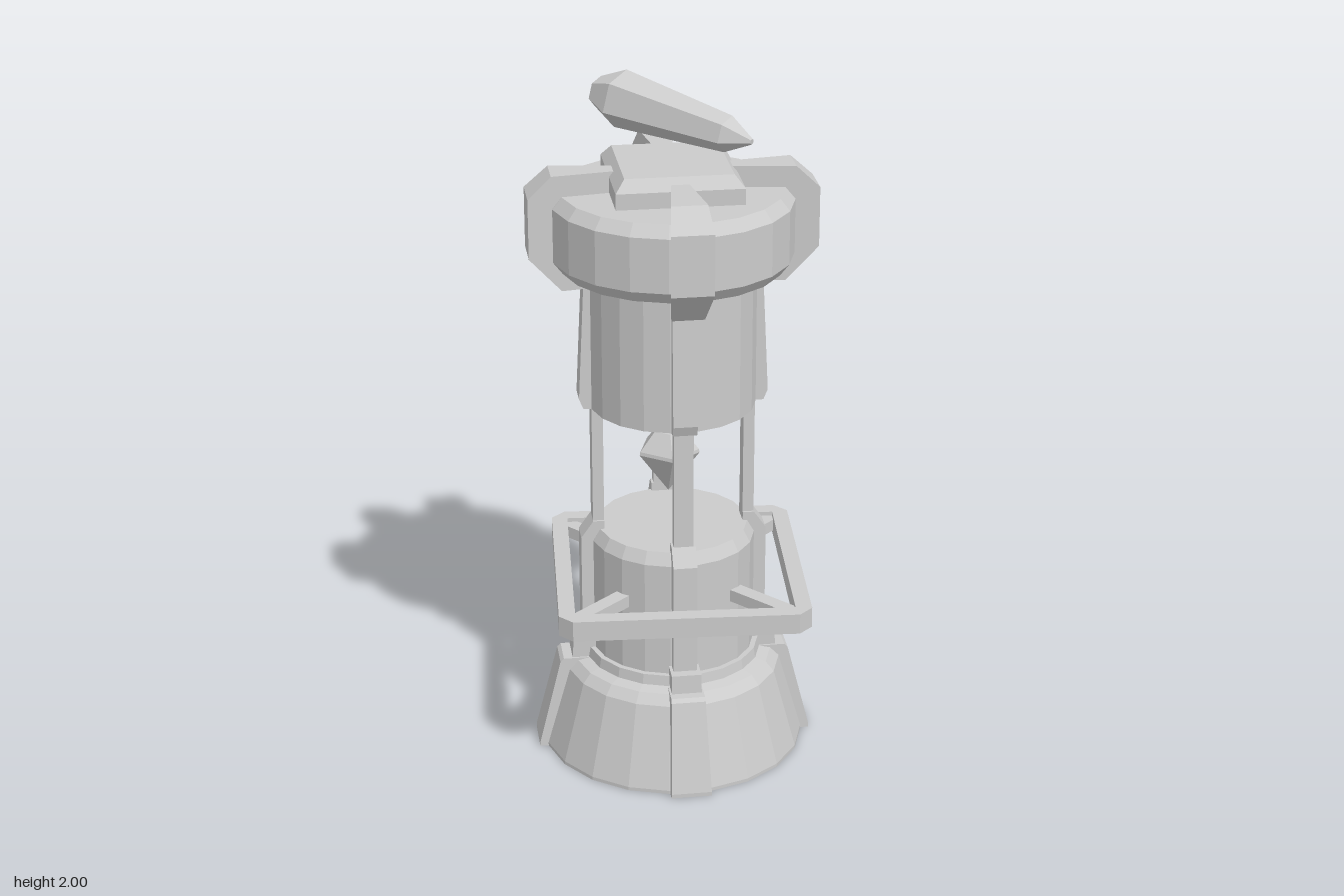
import * as THREE from 'three';

const material = new THREE.MeshStandardMaterial({ color: 0xcccccc, flatShading: true });
const RIB_ANGLE = THREE.MathUtils.degToRad(27.2);
const RING_ANGLE = THREE.MathUtils.degToRad(23.4);

function add(parent, name, geometry) {
  const mesh = new THREE.Mesh(geometry, material);
  mesh.name = name;
  parent.add(mesh);
  return mesh;
}

// Faceted solid of revolution; profile is [radius, height] from bottom to top
function turned(parent, name, profile, sides = 20) {
  return add(parent, name, new THREE.LatheGeometry(profile.map(p => new THREE.Vector2(...p)), sides));
}

function outline(points) {
  return new THREE.Shape(points.map(p => new THREE.Vector2(...p)));
}

// Four ribs around the axis: [radius, height] side profile, width given by a rule
function ribs(parent, name, profile, widthAt) {
  const geometry = new THREE.ExtrudeGeometry(outline(profile), { depth: 1, bevelEnabled: false });
  geometry.translate(0, 0, -0.5);
  const p = geometry.attributes.position;
  for (let i = 0; i < p.count; i++) p.setZ(i, p.getZ(i) * widthAt(p.getX(i), p.getY(i)));
  geometry.computeVertexNormals();
  for (let i = 0; i < 4; i++) {
    add(parent, name, geometry).rotation.y = RIB_ANGLE + i * Math.PI / 2;
  }
}

export function createModel() {
  const model = new THREE.Group();
  model.name = 'lanternTower';
  const tower = new THREE.Group();
  tower.name = 'tower';
  tower.position.x = -0.016;
  model.add(tower);

  // Flared base and lower drum
  turned(tower, 'base', [[0, 0], [0.38, 0], [0.38, 0.01], [0.312, 0.245], [0.287, 0.272],
    [0.255, 0.28], [0.25, 0.31], [0.235, 0.31], [0.235, 0.65], [0.215, 0.685], [0, 0.685]]);
  ribs(tower, 'baseRib', [[0.2, 0], [0.4, 0], [0.4, 0.012], [0.335, 0.27], [0.325, 0.28], [0.2, 0.28]],
    (r, y) => 0.116 - 0.07 * y);
  ribs(tower, 'baseRibStep', [[0.2, 0.26], [0.3, 0.26], [0.295, 0.335], [0.2, 0.335]], () => 0.085);
  ribs(tower, 'lowerRib', [[0.19, 0.3], [0.267, 0.3], [0.267, 0.66], [0.232, 0.71], [0.2, 0.71]],
    () => 0.068);

  // Open chamber posts
  ribs(tower, 'post', [[0.2, 0.66], [0.232, 0.66], [0.232, 1.1], [0.2, 1.1]], () => 0.055);

  // Upper drum
  turned(tower, 'upperDrum', [[0, 1.06], [0.235, 1.06], [0.235, 1.5], [0, 1.5]]);
  ribs(tower, 'upperRib', [[0.19, 1.06], [0.255, 1.06], [0.267, 1.09], [0.25, 1.44], [0.19, 1.44]],
    () => 0.068);

  // Head disc with wedge-shaped clamps
  turned(tower, 'headDisc', [[0, 1.47], [0.31, 1.47], [0.337, 1.505], [0.337, 1.658], [0.31, 1.69], [0, 1.69]]);
  ribs(tower, 'clamp', [[0.2, 1.42], [0.31, 1.42], [0.4, 1.52], [0.4, 1.69], [0.335, 1.75],
    [0.15, 1.75], [0.15, 1.5]], r => 0.046 + (r - 0.15) * 0.28);

  // Square cap on the head
  turned(tower, 'squareCap', [[0, 1.68], [0.248, 1.68], [0.248, 1.735], [0.21, 1.768], [0, 1.768]], 4)
    .rotation.y = RIB_ANGLE + Math.PI / 4;

  // Floating gem in the chamber
  const gem = turned(model, 'gem', [[0, 0], [0.09, 0.125], [0.088, 0.135], [0.042, 0.19], [0, 0.19]], 5);
  gem.position.set(-0.022, 0.785, 0.016);
  gem.rotation.y = THREE.MathUtils.degToRad(-45);

  // Floating crystal above the head
  const tail = new THREE.Vector3(-0.238, 1.932, -0.025);
  const axis = new THREE.Vector3(0.247, 1.88, 0.115).sub(tail);
  const length = axis.length();
  const crystal = turned(model, 'crystal', [[0, 0], [0.042, 0], [0.08, length * 0.15],
    [0.05, length * 0.85], [0.008, length], [0, length]], 6);
  crystal.position.copy(tail);
  crystal.quaternion.setFromUnitVectors(new THREE.Vector3(0, 1, 0), axis.normalize());

  // Square guard ring with clipped corners
  const ring = new THREE.Group();
  ring.name = 'guardRing';
  ring.position.y = 0.493;
  ring.rotation.y = RING_ANGLE;
  model.add(ring);
  const o = 0.354, c = 0.316, n = 0.308;
  const frame = outline([[o, -c], [o, c], [c, o], [-c, o], [-o, c], [-o, -c], [-c, -o], [c, -o]]);
  frame.holes.push(outline([[n, n], [n, -n], [-n, -n], [-n, n]]));
  const frameGeometry = new THREE.ExtrudeGeometry(frame, { depth: 0.06, bevelEnabled: false });
  frameGeometry.rotateX(-Math.PI / 2);
  add(ring, 'guardFrame', frameGeometry);

  // Struts from the lower drum to the ring corners
  const strut = new THREE.BoxGeometry(0.24, 0.036, 0.044).translate(0.32, 0.03, 0);
  for (let i = 0; i < 4; i++) {
    add(ring, 'guardStrut', strut).rotation.y = Math.PI / 4 + i * Math.PI / 2;
  }
  return model;
}
